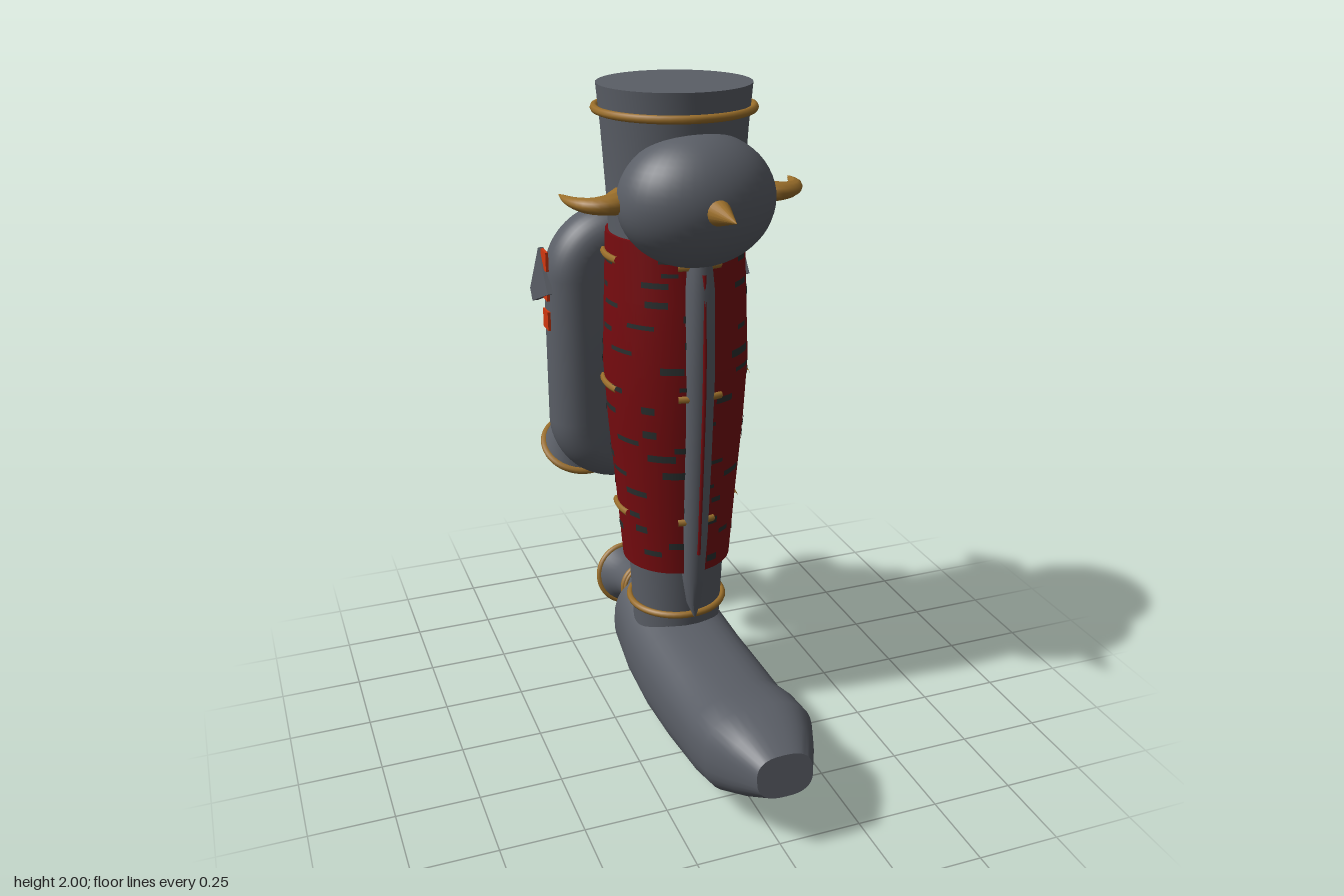
import * as THREE from 'three';
import { toCreasedNormals, mergeGeometries } from 'three/addons/utils/BufferGeometryUtils.js';

const mat = (name, color, side = THREE.FrontSide) => {
  const m = new THREE.MeshStandardMaterial({ color, side });
  m.name = name;
  return m;
};
const grey = mat('steel grey', 0x5a5e66);
const red = mat('dark red', 0x760b0f, THREE.DoubleSide);
const gold = mat('old gold', 0x9a6e2a);
const orange = mat('glow orange', 0xd2380f, THREE.DoubleSide);
const dark = mat('dark fleck', 0x2a2f2f, THREE.DoubleSide);

const LEG_Z = -0.105;
const V = (x, y, z) => new THREE.Vector3(x, y, z);

function add(parent, name, geo, material, x = 0, y = 0, z = 0) {
  const m = new THREE.Mesh(geo, material);
  m.name = name;
  m.position.set(x, y, z);
  parent.add(m);
  return m;
}

const lathe = (pts, seg = 48, crease = 0.6) =>
  toCreasedNormals(new THREE.LatheGeometry(pts.map(p => new THREE.Vector2(p[0], p[1])), seg), crease);

const ring = (r, tube) => new THREE.TorusGeometry(r, tube, 8, 48).rotateX(Math.PI / 2);

// Skin over a list of closed rings, capped at both ends
function loft(rings, crease = 0.6) {
  const n = rings[0].length, pos = [], idx = [];
  rings.forEach(r => r.forEach(p => pos.push(p.x, p.y, p.z)));
  for (let i = 0; i < rings.length - 1; i++)
    for (let j = 0; j < n; j++) {
      const k = (j + 1) % n, a = i * n + j, b = i * n + k;
      idx.push(a, b, b + n, a, b + n, a + n);
    }
  [0, rings.length - 1].forEach(i => {
    const c = V(0, 0, 0);
    rings[i].forEach(p => c.addScaledVector(p, 1 / n));
    const ci = pos.length / 3;
    pos.push(c.x, c.y, c.z);
    for (let j = 0; j < n; j++) {
      const a = i * n + j, b = i * n + (j + 1) % n;
      if (i) idx.push(ci, a, b); else idx.push(ci, b, a);
    }
  });
  const g = new THREE.BufferGeometry();
  g.setAttribute('position', new THREE.Float32BufferAttribute(pos, 3));
  g.setIndex(idx);
  return toCreasedNormals(g, crease);
}

// Tube that narrows to a point
function horn(points, radius) {
  const curve = new THREE.CatmullRomCurve3(points), n = 16, rs = 12;
  const g = new THREE.TubeGeometry(curve, n, radius, rs), p = g.attributes.position;
  for (let i = 0; i <= n; i++) {
    const c = curve.getPointAt(i / n), s = Math.pow(1 - i / n, 0.8) + 0.01;
    for (let j = 0; j <= rs; j++) {
      const k = i * (rs + 1) + j;
      const v = new THREE.Vector3().fromBufferAttribute(p, k).sub(c).multiplyScalar(s).add(c);
      p.setXYZ(k, v.x, v.y, v.z);
    }
  }
  g.computeVertexNormals();
  return g;
}

// Nozzle pointing down its own -y, tilted backwards by angle
function thruster(name, x, y, z, angle, scale) {
  const g = new THREE.Group();
  g.name = name;
  add(g, 'nozzleBell', lathe([[0.072, -0.31], [0.085, -0.35], [0.118, -0.41], [0.126, -0.41],
    [0.102, -0.365], [0.086, -0.31], [0.079, -0.25], [0.083, -0.18], [0.08, -0.16]], 32), grey);
  add(g, 'nozzleBody', lathe([[0.083, -0.18], [0.076, -0.07], [0.089, -0.06], [0.089, -0.015],
    [0.078, 0], [0, 0]], 14, 0.3), grey);
  add(g, 'nozzleCollar', ring(0.086, 0.012), gold, 0, -0.18);
  add(g, 'nozzleCollarUpper', ring(0.084, 0.008), gold, 0, -0.155);
  add(g, 'nozzleRim', ring(0.123, 0.013), gold, 0, -0.41);
  add(g, 'nozzleGlow', new THREE.CircleGeometry(0.076, 24).rotateX(Math.PI / 2), orange, 0, -0.32);
  g.position.set(x, y, z);
  g.rotation.x = angle;
  g.scale.setScalar(scale);
  return g;
}

// Radius of the red wrap by height
const wrap = [[0.17, 0.52], [0.188, 0.75], [0.208, 0.98], [0.22, 1.18], [0.212, 1.4], [0.205, 1.58]];
function wrapRadius(y) {
  for (let i = 1; i < wrap.length; i++) {
    const [r0, y0] = wrap[i - 1], [r1, y1] = wrap[i];
    if (y <= y1) return r0 + (r1 - r0) * (y - y0) / (y1 - y0);
  }
  return 0.205;
}

export function createModel() {
  const model = new THREE.Group();
  model.name = 'armouredLeg';

  // Leg column
  add(model, 'thigh', lathe([[0, 1.5], [0.193, 1.5], [0.197, 1.65], [0.212, 1.88], [0.223, 2], [0, 2]]), grey, 0, 0, LEG_Z);
  add(model, 'thighRing', ring(0.228, 0.012), gold, 0, 1.93, LEG_Z);
  add(model, 'ankle', lathe([[0, 0.25], [0.138, 0.25], [0.145, 0.4], [0.153, 0.56], [0, 0.56]]), grey, 0, 0, LEG_Z);
  add(model, 'ankleRing', ring(0.15, 0.011), gold, 0, 0.36, LEG_Z);
  add(model, 'shinWrap', lathe([[0, 0.525], ...wrap, [0, 1.575]]), red, 0, 0, LEG_Z);

  // Scattered dark flecks hugging the wrap
  let seed = 7;
  const rnd = () => (seed = (seed * 16807) % 2147483647) / 2147483647;
  const flecks = [];
  for (let i = 0; i < 100; i++) {
    const y = 0.56 + 0.98 * (i + rnd()) / 100, h = 0.012 + 0.012 * rnd();
    const g = new THREE.CylinderGeometry(wrapRadius(y + h / 2) + 0.002, wrapRadius(y - h / 2) + 0.002,
      h, 5, 1, true, i * 2.4 + rnd() * 0.8, 0.16 + 0.28 * rnd());
    flecks.push(g.translate(0, y, 0));
  }
  add(model, 'wrapFlecks', mergeGeometries(flecks), dark, 0, 0, LEG_Z);

  // Short gold bars around the wrap
  const arc = 0.62;
  for (const y of [0.705, 1.12, 1.515])
    for (let q = 0; q < 4; q++) {
      const bar = new THREE.TorusGeometry(wrapRadius(y) + 0.002, 0.011, 6, 10, arc)
        .rotateZ(-arc / 2).rotateX(Math.PI / 2).rotateY(q * Math.PI / 2);
      add(model, 'wrapBar', bar, gold, 0, y, LEG_Z);
    }

  // Knee cap with spike and side horns
  const knee = add(model, 'kneeCap', new THREE.SphereGeometry(1, 40, 28), grey, 0, 1.7, 0.075);
  knee.scale.set(0.23, 0.19, 0.175);
  add(model, 'kneeSpike', new THREE.ConeGeometry(0.043, 0.15, 20).rotateX(Math.PI / 2), gold, 0, 1.7, 0.295);
  for (const s of [-1, 1]) {
    const h = add(model, 'kneeHorn', horn([V(s * 0.19, 0, 0.005), V(s * 0.24, 0, 0.05), V(s * 0.295, 0, 0.045),
      V(s * 0.335, 0.004, -0.005), V(s * 0.352, 0.012, -0.09)], 0.052), gold, 0, 1.7, 0);
    h.scale.y = 0.7;
  }

  // Shin blade: height, front z, half width
  const blade = [[0.365, 0.072, 0.004], [0.41, 0.082, 0.022], [0.5, 0.092, 0.034], [0.65, 0.108, 0.04],
    [0.9, 0.128, 0.043], [1.2, 0.146, 0.046], [1.45, 0.145, 0.043], [1.56, 0.13, 0.036]];
  add(model, 'shinBlade', loft(blade.map(([y, z, w]) => {
    const d = Math.min(0.045, w * 1.2);
    return Array.from({ length: 16 }, (_, j) => {
      const t = j / 16 * Math.PI * 2;
      return V(Math.cos(t) * w, y, z - d - Math.sin(t) * d);
    });
  })), grey);
  const stripe = new THREE.CatmullRomCurve3([V(0, 0.6, 0.101), V(0, 0.9, 0.126), V(0, 1.2, 0.144), V(0, 1.5, 0.137)]);
  add(model, 'bladeStripe', new THREE.TubeGeometry(stripe, 20, 0.006, 6), red);

  // Foot: bottom z and y, top z and y, half width
  const foot = [[-0.31, 0.04, -0.275, 0.345, 0.155], [-0.12, 0.01, -0.12, 0.325, 0.17], [0.05, 0, 0.05, 0.315, 0.173],
    [0.25, 0.015, 0.25, 0.318, 0.172], [0.4, 0.035, 0.4, 0.322, 0.168], [0.5, 0.06, 0.48, 0.34, 0.174],
    [0.6, 0.085, 0.58, 0.355, 0.168], [0.69, 0.13, 0.67, 0.34, 0.13], [0.78, 0.185, 0.76, 0.308, 0.084]];
  const sq = v => Math.sign(v) * Math.pow(Math.abs(v), 0.75);
  add(model, 'foot', loft(foot.map(([zb, yb, zt, yt, w]) => Array.from({ length: 36 }, (_, j) => {
    const t = j / 36 * Math.PI * 2, u = (sq(Math.sin(t)) + 1) / 2;
    return V(sq(Math.cos(t)) * w, yb + (yt - yb) * u, zb + (zt - zb) * u);
  }))), grey);

  // Calf pack: rounded slab
  const w = 0.235, y0 = 0.78, y1 = 1.51, r = 0.13, s = new THREE.Shape();
  s.absarc(w - r, y0 + r, r, -Math.PI / 2, 0);
  s.absarc(w - r, y1 - r, r, 0, Math.PI / 2);
  s.absarc(r - w, y1 - r, r, Math.PI / 2, Math.PI);
  s.absarc(r - w, y0 + r, r, Math.PI, Math.PI * 1.5);
  const slab = new THREE.ExtrudeGeometry(s, { depth: 0.01, bevelThickness: 0.09, bevelSize: 0.09, bevelSegments: 8, curveSegments: 10 });
  add(model, 'calfPack', toCreasedNormals(slab, 0.7), grey, 0, 0, -0.39);

  // Pack fins and side lights
  const fin = new THREE.Shape([[0.42, 1.47], [0.325, 1.345], [0.52, 1.27], [0.545, 1.305]].map(p => new THREE.Vector2(...p)));
  const finGeo = new THREE.ExtrudeGeometry(fin, { depth: 0.018, bevelEnabled: false }).rotateY(Math.PI / 2);
  for (const side of [-1, 1]) {
    add(model, 'packFin', finGeo, grey, side * 0.326 - 0.009, 0, 0);
    for (const y of [1.25, 1.345, 1.44])
      add(model, 'packLight', new THREE.BoxGeometry(0.009, 0.06, 0.056), orange, side * 0.326, y, -0.378);
    model.add(thruster('packThruster', side * 0.155, 1.05, -0.46, 0.509, 1));
  }
  model.add(thruster('heelThruster', 0, 0.24, -0.3, 1.338, 0.84));
  return model;
}
